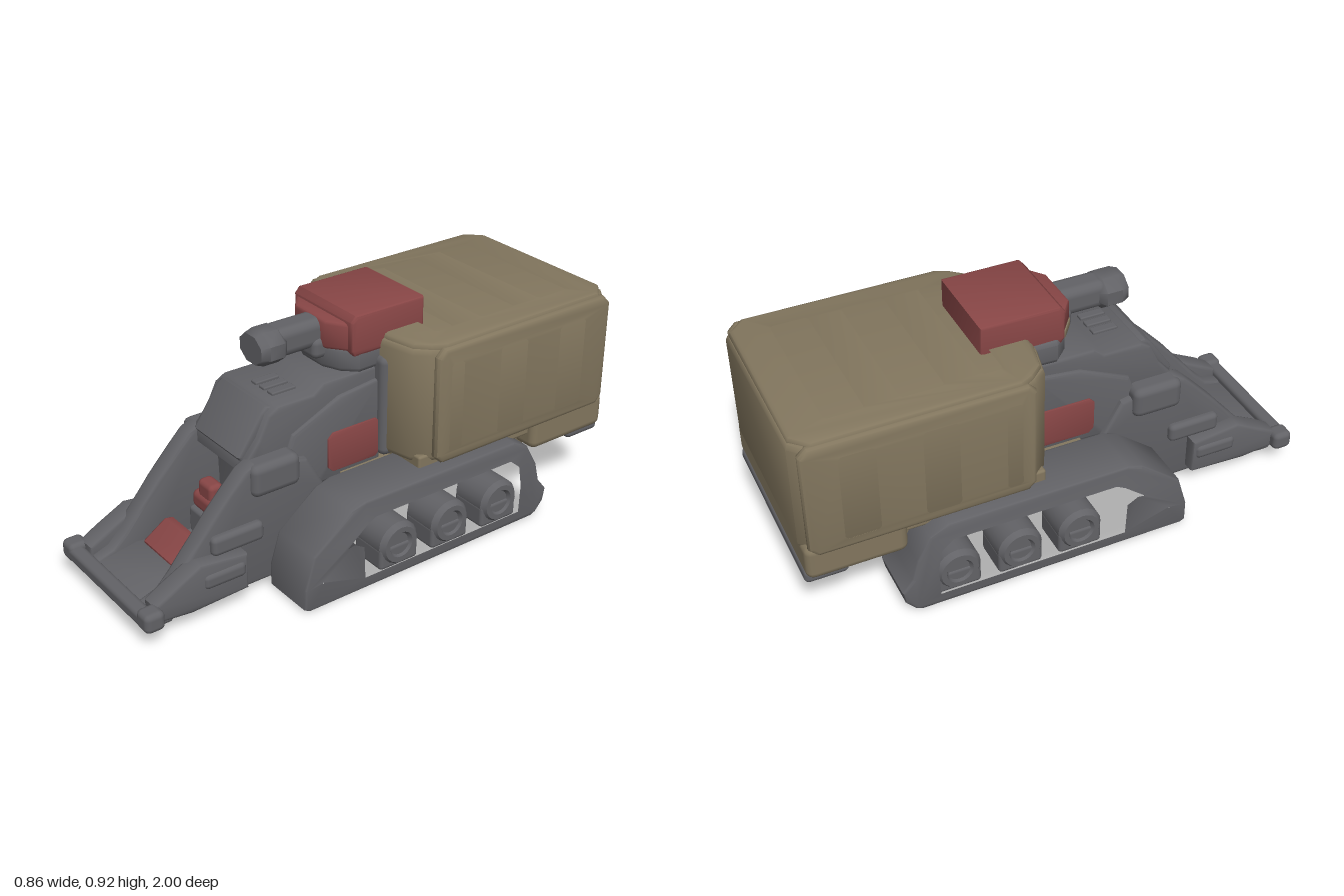
import * as THREE from 'three';
import { toCreasedNormals } from 'three/addons/utils/BufferGeometryUtils.js';
import { RoundedBoxGeometry } from 'three/addons/geometries/RoundedBoxGeometry.js';

const paint = (name, color) => Object.assign(new THREE.MeshStandardMaterial({ color }), { name });

export function createModel() {
  const root = new THREE.Group();
  root.name = 'trackedCarrier';
  const grey = paint('dark grey', 0x626266);
  const tan = paint('tan', 0x82765e);
  const red = paint('dull red', 0x884646);

  function add(name, geometry, material) {
    const mesh = new THREE.Mesh(geometry, material);
    mesh.name = name;
    root.add(mesh);
    return mesh;
  }
  // Rounded box given by its limits on each axis
  function box(name, material, [x0, x1], [y0, y1], [z0, z1], r = 0.015) {
    const g = new RoundedBoxGeometry(x1 - x0, y1 - y0, z1 - z0, 2, r);
    g.translate((x0 + x1) / 2, (y0 + y1) / 2, (z0 + z1) / 2);
    return add(name, g, material);
  }
  // Bevelled extrusion, still lying along local z
  function extrude(points, holes, depth, b) {
    const shape = new THREE.Shape(points.map(p => new THREE.Vector2(...p)));
    for (const h of holes) shape.holes.push(new THREE.Path(h.map(p => new THREE.Vector2(...p))));
    const g = new THREE.ExtrudeGeometry(shape, {
      depth: depth - 2 * b, bevelEnabled: true, bevelSize: b, bevelThickness: b,
      bevelOffset: -b, bevelSegments: 2,
    });
    return g.translate(0, 0, b);
  }
  // Side outline of [z, y] points, extruded from x0 to x1
  function side(name, material, points, x0, x1, b = 0.012, holes = []) {
    const flip = list => list.map(([z, y]) => [-z, y]);
    const g = extrude(flip(points), holes.map(flip), x1 - x0, b);
    g.rotateY(Math.PI / 2).translate(x0, 0, 0);
    return add(name, toCreasedNormals(g, 0.8), material);
  }
  // Plan outline of [x, z] points, extruded from y0 to y1
  function plan(name, material, points, y0, y1, b = 0.02, holes = []) {
    const flip = list => list.map(([x, z]) => [x, -z]);
    const g = extrude(flip(points), holes.map(flip), y1 - y0, b);
    g.rotateX(-Math.PI / 2).translate(0, y0, 0);
    return add(name, toCreasedNormals(g, 0.8), material);
  }
  // Rectangle with cut corners
  const panel = (u0, u1, v0, v1, c) => [
    [u0 + c, v0], [u1 - c, v0], [u1, v0 + c], [u1, v1 - c],
    [u1 - c, v1], [u0 + c, v1], [u0, v1 - c], [u0, v0 + c]];
  const mirrored = half => [...half, ...half.slice().reverse().map(([x, z]) => [-x, z])];
  // Same limits on the model's left (s = 1) and right (s = -1)
  const span = (s, a, b) => (s > 0 ? [a, b] : [-b, -a]);

  // Cargo container: core, ribbed skins made of plates with openings
  plan('container', tan, mirrored([
    [0.33, -1], [0.382, -0.95], [0.382, -0.19], [0.36, -0.14], [0.32, -0.09], [0.2, -0.06],
  ]), 0.365, 0.815, 0.025);
  plan('containerRoof', tan, mirrored([
    [0.32, -0.99], [0.38, -0.93], [0.38, -0.2], [0.355, -0.15], [0.31, -0.1], [0.2, -0.075],
  ]), 0.78, 0.83, 0.016, [
    panel(-0.3, 0.3, -0.87, -0.7, 0.02), panel(-0.3, 0.3, -0.61, -0.42, 0.02),
    panel(-0.3, 0.3, -0.32, -0.21, 0.02)]);
  box('containerRearBase', tan, [-0.392, 0.392], [0.26, 0.4], [-0.995, -0.63], 0.03);
  box('containerFloor', tan, [-0.36, 0.36], [0.32, 0.4], [-0.66, -0.1], 0.01);
  box('rearBumper', grey, [-0.37, 0.37], [0.23, 0.285], [-1, -0.84], 0.02);
  for (const s of [1, -1]) {
    side('containerSide', tan, panel(-0.98, -0.15, 0.365, 0.815, 0.03), ...span(s, 0.355, 0.397), 0.016, [
      panel(-0.87, -0.71, 0.39, 0.77, 0.02), panel(-0.58, -0.42, 0.39, 0.77, 0.02),
      panel(-0.28, -0.19, 0.39, 0.77, 0.02)]);
  }

  // Belly between the tracks, with a dark underside
  side('belly', tan, [[0.14, 0.28], [0.12, 0.34], [-0.75, 0.34], [-0.75, 0.28], [-0.6, 0.21], [0.08, 0.21]],
    -0.3, 0.3, 0.01);
  box('bellyPlate', grey, [-0.28, 0.28], [0.19, 0.216], [-0.58, 0.07], 0.01);

  // Tracks: open side frame, solid idler with a hole, road wheels
  const trackOutline = [
    [0.43, 0], [0.448, 0.01], [0.448, 0.09], [0.41, 0.215], [0.25, 0.34], [0.19, 0.357],
    [-0.5, 0.357], [-0.57, 0.32], [-0.62, 0.23], [-0.64, 0.15], [-0.68, 0.1], [-0.67, 0.05], [-0.635, 0.01], [-0.61, 0],
  ];
  const trackOpening = [
    [0.2, 0.035], [0.205, 0.17], [0.24, 0.19], [0.28, 0.19], [0.19, 0.27], [0.15, 0.293], [-0.49, 0.293],
    [-0.54, 0.25], [-0.555, 0.16], [-0.55, 0.035],
  ];
  for (const s of [1, -1]) {
    side('track', grey, trackOutline, ...span(s, 0.21, 0.428), 0.01, [
      trackOpening, panel(0.36, 0.385, 0.085, 0.11, 0.008)]);
    const r = 0.086;
    const rim = [[0, 0], [r - 0.02, 0], [r, 0.02], [r, 0.155], [r - 0.015, 0.175],
      [r - 0.035, 0.175], [r - 0.045, 0.16], [0, 0.16]];
    for (const z of [0.018, -0.22, -0.46]) {
      const g = new THREE.LatheGeometry(rim.map(p => new THREE.Vector2(...p)), 20);
      g.rotateZ(-s * Math.PI / 2).translate(s * 0.24, 0.11, z);
      add('roadWheel', toCreasedNormals(g, 0.6), grey);
      box('wheelFoot', grey, span(s, 0.25, 0.405), [0.02, 0.11], [z - r, z + r], 0.015);
    }
  }

  // Upper hull
  side('upperHull', grey, [
    [-0.07, 0.3], [-0.07, 0.703], [0.18, 0.703], [0.22, 0.672], [0.37, 0.672], [0.41, 0.65],
    [0.45, 0.57], [0.51, 0.5], [0.51, 0.45], [0.43, 0.445], [0.42, 0.06], [0.37, 0.13], [0.2, 0.3],
  ], -0.17, 0.17);
  side('frontPlate', grey, [[0.35, 0.66], [0.4, 0.67], [0.425, 0.65], [0.52, 0.51], [0.5, 0.48], [0.4, 0.5]],
    -0.145, 0.145);
  box('hullCollar', grey, [-0.22, 0.22], [0.35, 0.75], [-0.12, -0.045], 0.03);
  for (let i = 0; i < 3; i++) {
    const x = -0.045 + i * 0.05;
    box('roofSlat', grey, [x, x + 0.035], [0.668, 0.682], [0.24, 0.34], 0.005);
  }

  for (const s of [1, -1]) {
    // Shoulder, red hatch and stepped cheek blocks
    side('shoulder', grey, [[-0.06, 0.33], [-0.06, 0.66], [0.12, 0.64], [0.32, 0.55], [0.38, 0.4], [0.38, 0.15], [0.2, 0.32]],
      ...span(s, 0.14, 0.185));
    side('sideHatch', red, panel(-0.055, 0.175, 0.355, 0.51, 0.02), ...span(s, 0.183, 0.191), 0.002);
    box('upperCheek', grey, span(s, 0.14, 0.238), [0.385, 0.51], [0.32, 0.52], 0.03);
    // Walls of the open nose
    side('noseWall', grey, [
      [0.2, 0.32], [0.28, 0.46], [0.5, 0.51], [0.54, 0.49], [0.6, 0.43], [0.68, 0.345], [0.73, 0.285], [0.77, 0.24],
      [0.82, 0.18], [0.87, 0.13], [0.94, 0.105], [0.94, 0.07], [0.72, 0.06], [0.66, 0.035], [0.44, 0.035], [0.38, 0.1],
    ], ...span(s, 0.14, 0.212));
    box('middleCheek', grey, span(s, 0.18, 0.238), [0.22, 0.295], [0.48, 0.69], 0.02);
    side('lowerCheek', grey, [[0.57, 0.07], [0.57, 0.21], [0.76, 0.235], [0.82, 0.205], [0.88, 0.175], [0.94, 0.14],
      [0.94, 0.075], [0.8, 0.06]], ...span(s, 0.185, 0.265));
    box('cheekStep', grey, span(s, 0.2, 0.275), [0.13, 0.19], [0.58, 0.75], 0.02);
    box('bumperEnd', grey, span(s, 0.225, 0.302), [0.07, 0.145], [0.92, 0.998], 0.022);
    box('towLug', grey, span(s, 0.2, 0.25), [0.045, 0.1], [0.86, 0.94], 0.018);
  }

  // Nose interior: floor, seat, red step, ramp and front bar
  box('noseFloor', grey, [-0.2, 0.2], [0.037, 0.1], [0.4, 0.7], 0.015);
  box('seatBench', red, [-0.14, 0.14], [0.195, 0.268], [0.47, 0.55], 0.025);
  box('rightSeatBack', red, [-0.11, -0.018], [0.22, 0.322], [0.48, 0.54], 0.02);
  box('leftSeatBack', red, [0.047, 0.11], [0.22, 0.322], [0.48, 0.54], 0.02);
  box('seatBase', grey, [-0.145, 0.145], [0.08, 0.2], [0.42, 0.56], 0.015);
  box('floorRib', grey, [-0.12, 0.12], [0.09, 0.12], [0.61, 0.635], 0.01);
  side('redStep', red, [[0.64, 0.08], [0.64, 0.19], [0.67, 0.195], [0.76, 0.135], [0.76, 0.08]], -0.128, 0.14, 0.008);
  side('ramp', grey, [[0.68, 0.06], [0.7, 0.12], [0.78, 0.13], [0.95, 0.1], [0.95, 0.07]], -0.2, 0.2, 0.008);
  box('redUnderPlate', red, [-0.13, 0.13], [0.0598, 0.067], [0.705, 0.765], 0.001);
  box('frontBar', grey, [-0.29, 0.29], [0.075, 0.13], [0.94, 0.997], 0.018);

  // Turret: grey ring, red box with a tapered front and a tan corner patch
  plan('turretRing', grey, mirrored([[0.17, -0.2], [0.178, 0.03], [0.13, 0.08], [0.06, 0.11]]), 0.7, 0.795, 0.018);
  side('turret', red, [[-0.255, 0.77], [-0.255, 0.922], [0.045, 0.922], [0.065, 0.9], [0.065, 0.79], [0.05, 0.77]],
    -0.165, 0.18, 0.01);
  plan('turretFront', red, mirrored([[0.16, 0.02], [0.155, 0.065], [0.09, 0.115]]), 0.785, 0.892, 0.012);
  plan('turretPatch', tan, [[-0.155, 0.061], [-0.157, 0.069], [-0.093, 0.119], [-0.09, 0.111]], 0.785, 0.815, 0.001);

  // Gun: a deep neck and an eight-sided muzzle
  box('gunNeck', grey, [-0.048, 0.062], [0.778, 0.888], [0.08, 0.3], 0.035);
  const muzzle = [[0, 0], [0.055, 0], [0.082, 0.025], [0.082, 0.085], [0.068, 0.115], [0, 0.115]];
  const barrel = new THREE.LatheGeometry(muzzle.map(p => new THREE.Vector2(...p)), 8);
  barrel.rotateY(Math.PI / 8).rotateX(Math.PI / 2).scale(1.05, 0.82, 1).translate(0.008, 0.828, 0.255);
  add('gunMuzzle', toCreasedNormals(barrel, 0.85), grey);
  box('gunMantlet', grey, [-0.06, 0.075], [0.74, 0.82], [0.07, 0.15], 0.025);
  return root;
}
